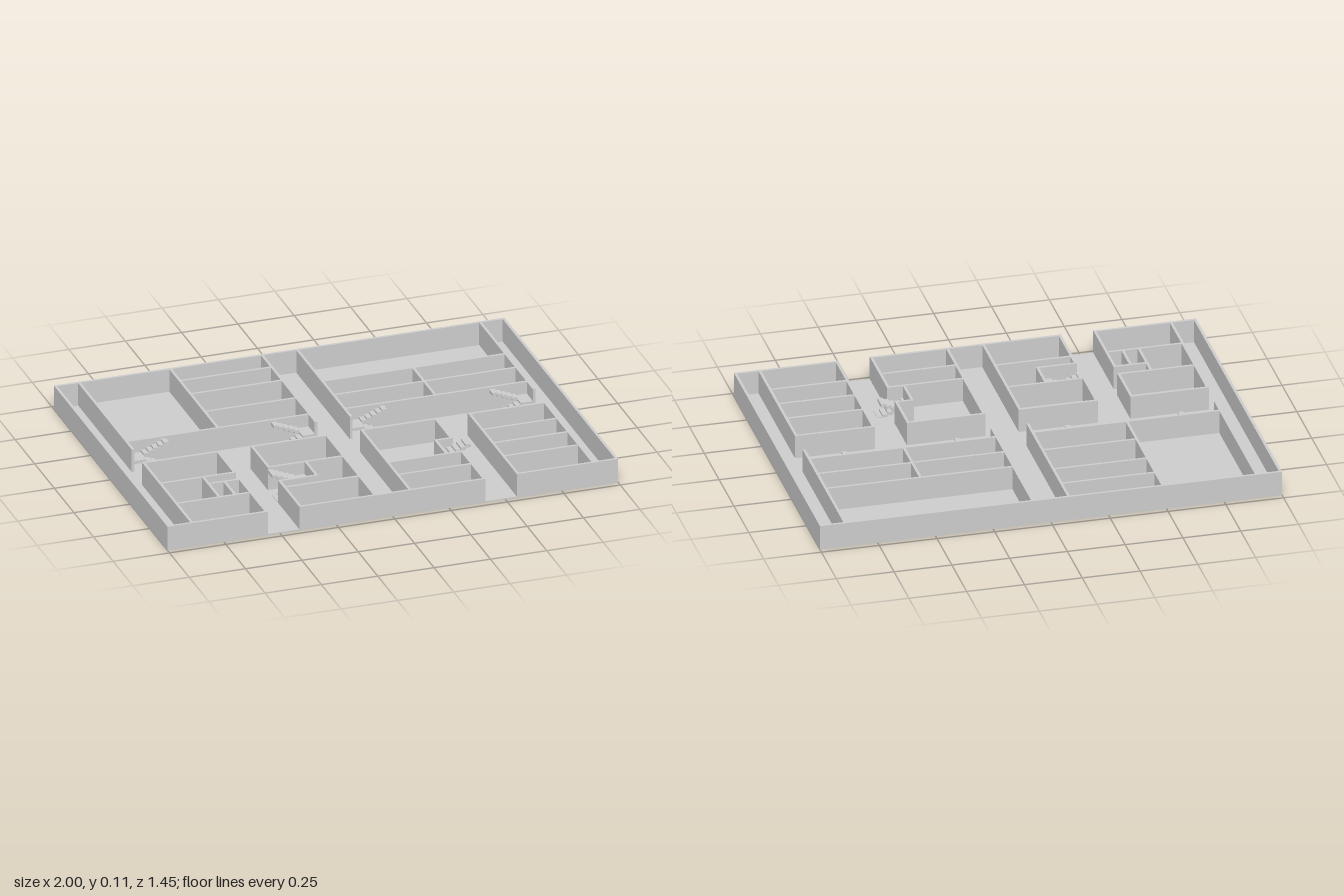
import * as THREE from 'three';

const H = 0.11, FLOOR = 0.006, T = 0.012;
const material = new THREE.MeshStandardMaterial({ color: 0xcccccc, flatShading: true });

export function createModel() {
  const model = new THREE.Group();
  model.name = 'floorPlan';

  // Box given by its limits on each axis
  function box(parent, name, x0, x1, y0, y1, z0, z1) {
    const mesh = new THREE.Mesh(new THREE.BoxGeometry(x1 - x0, y1 - y0, z1 - z0), material);
    mesh.position.set((x0 + x1) / 2, (y0 + y1) / 2, (z0 + z1) / 2);
    mesh.name = name;
    parent.add(mesh);
  }
  function group(name) {
    const g = new THREE.Group();
    g.name = name;
    model.add(g);
    return g;
  }
  // Walls along x and along z, centred on a line
  const wallX = (g, z, x0, x1) => box(g, 'wall', x0, x1, FLOOR / 2, H, z - T / 2, z + T / 2);
  const wallZ = (g, x, z0, z1) => box(g, 'wall', x - T / 2, x + T / 2, FLOOR / 2, H, z0, z1);

  box(model, 'floor', -1, 1, 0, FLOOR, -0.725, 0.725);

  // Outer walls, with two entrances at the front
  const outer = group('outerWalls');
  wallX(outer, -0.719, -1, 1);
  for (const [a, b] of [[-1, -0.555], [-0.415, 0.412], [0.55, 1]]) wallX(outer, 0.719, a, b);
  for (const s of [-1, 1]) {
    wallZ(outer, s * 0.994, -0.725, 0.725);
    // Side corridors, and central corridor
    for (const x of [0.89, 0.078]) {
      wallZ(outer, s * x, -0.72, -0.03);
      wallZ(outer, s * x, 0.1, 0.72);
    }
  }

  // Back left rooms
  const backLeft = group('backLeftRooms');
  wallX(backLeft, -0.113, -0.89, -0.078);
  wallZ(backLeft, -0.485, -0.72, -0.113);
  for (const z of [-0.595, -0.46, -0.28]) wallX(backLeft, z, -0.485, -0.078);

  // Back right rooms
  const backRight = group('backRightRooms');
  for (const z of [-0.395, -0.255, -0.113]) wallX(backRight, z, 0.078, 0.89);
  wallZ(backRight, 0.48, -0.395, -0.113);

  // Front rooms, from -x to +x
  const frontA = group('frontRoomsA');
  for (const z of [0.105, 0.316, 0.522]) wallX(frontA, z, -0.89, -0.555);
  wallZ(frontA, -0.561, 0.1, 0.322);
  wallZ(frontA, -0.561, 0.38, 0.72);
  wallZ(frontA, -0.7, 0.316, 0.522);
  wallX(frontA, 0.386, -0.7, -0.555);
  wallZ(frontA, -0.63, 0.386, 0.522);

  const frontB = group('frontRoomsB');
  for (const z of [0.105, 0.316, 0.522]) wallX(frontB, z, -0.415, -0.078);
  wallZ(frontB, -0.409, 0.1, 0.322);
  wallZ(frontB, -0.409, 0.45, 0.72);
  wallZ(frontB, -0.245, 0.316, 0.462);
  wallX(frontB, 0.456, -0.415, -0.245);

  const frontC = group('frontRoomsC');
  for (const z of [0.105, 0.438, 0.564]) wallX(frontC, z, 0.078, 0.412);
  wallZ(frontC, 0.406, 0.1, 0.305);
  wallZ(frontC, 0.406, 0.432, 0.72);
  wallZ(frontC, 0.338, 0.294, 0.438);
  wallX(frontC, 0.3, 0.338, 0.412);

  const frontD = group('frontRoomsD');
  wallZ(frontD, 0.556, 0.1, 0.72);
  for (const z of [0.105, 0.268, 0.405, 0.54]) wallX(frontD, z, 0.55, 0.89);

  // Two-flight stair: landing against a wall at x, flights running in direction dir
  function stair(x, dir, z0, z1, landing) {
    const g = group('stair');
    const n = 5, tread = 0.0225, rise = 0.0092, mid = 0.055, zm = (z0 + z1) / 2;
    const span = (name, a, b, top, za, zb) =>
      box(g, name, Math.min(a, b), Math.max(a, b), Math.max(top - 0.014, FLOOR / 2), top, za, zb);
    span('landing', x, x + dir * landing, mid, z0, z1);
    for (let i = 0; i < n; i++) {
      const a = x + dir * (landing + i * tread), b = a + dir * tread;
      span('upperStep', a, b, mid + (i + 1) * rise, z0, zm);
      span('lowerStep', a, b, mid - (i + 1) * rise, zm, z1);
    }
  }
  for (const s of [-1, 1]) {
    stair(s * 0.89, -s, -0.107, -0.03, 0.06);
    stair(s * 0.078, s, -0.107, -0.03, 0.06);
  }
  stair(-0.245, -1, 0.322, 0.45, 0.058);
  stair(0.338, 1, 0.306, 0.432, 0.02);

  return model;
}
